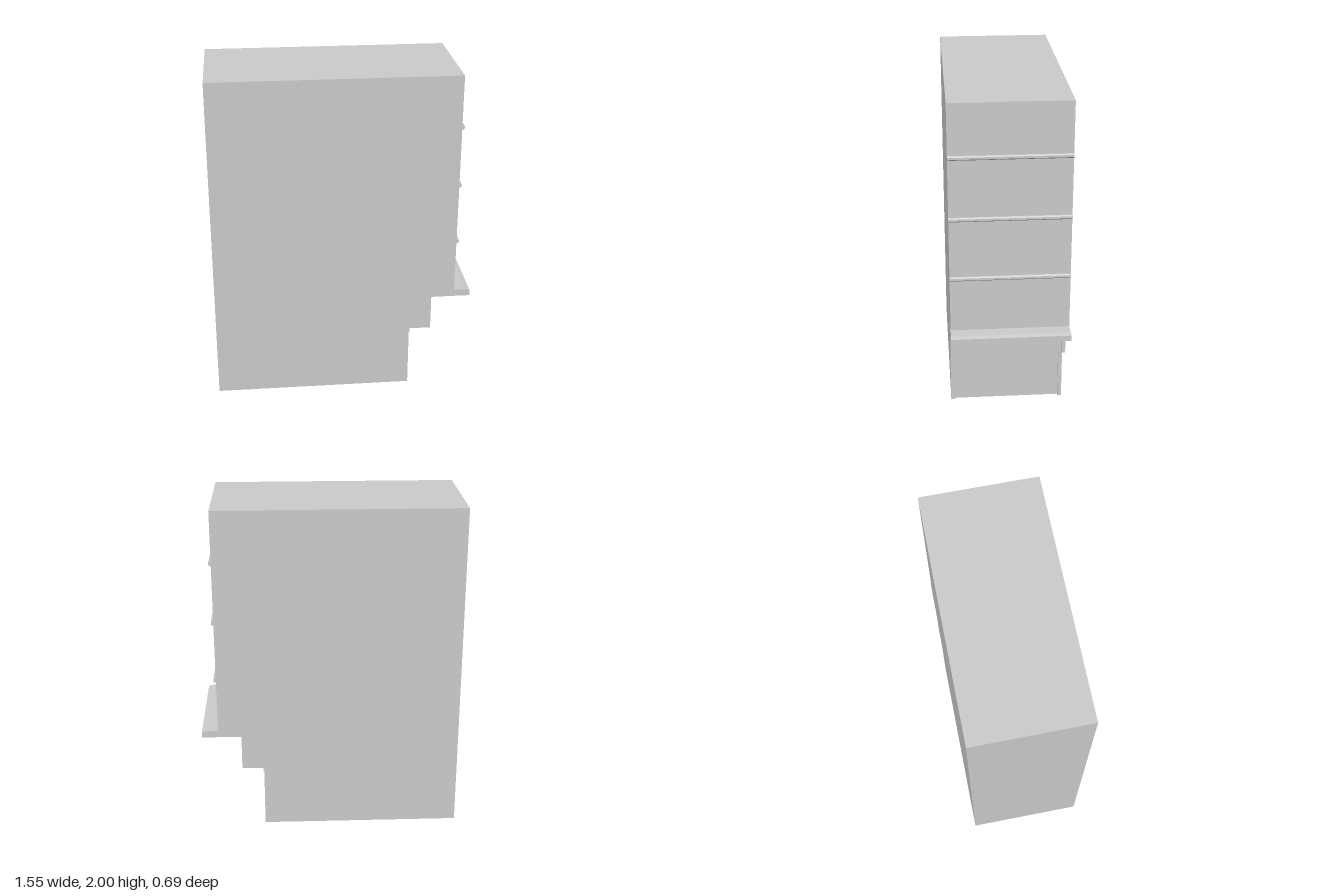
import * as THREE from 'three';

const HALF = 0.343;   // half depth of the cabinet
const CHEEK = 0.023;  // thickness of each side cheek
const BACK = -0.777;

const material = new THREE.MeshStandardMaterial({ color: 0xcccccc, flatShading: true });

// Extrude an x/y outline between two z positions
function slab(name, points, z0, z1) {
  const shape = new THREE.Shape(points.map(([x, y]) => new THREE.Vector2(x, y)));
  const geometry = new THREE.ExtrudeGeometry(shape, { depth: z1 - z0, bevelEnabled: false });
  geometry.translate(0, 0, z0);
  const mesh = new THREE.Mesh(geometry, material);
  mesh.name = name;
  return mesh;
}

// Stepped outline; the two lower steps can be set back by a recess
function outline(recess) {
  return [
    [BACK, 0], [0.408 - recess, 0], [0.408 - recess, 0.36],
    [0.413, 0.36], [0.413, 0.385],
    [0.541 - recess, 0.385], [0.541 - recess, 0.6],
    [0.68, 0.6], [0.68, 2], [BACK, 2],
  ];
}

export function createModel() {
  const group = new THREE.Group();
  group.name = 'steppedCabinet';

  // Main body with recessed lower panels
  const inner = HALF - CHEEK;
  group.add(slab('body', outline(0.015), -inner, inner));

  // Side cheeks framing the recessed panels
  group.add(slab('leftCheek', outline(0), inner, HALF));
  group.add(slab('rightCheek', outline(0), -HALF, -inner));

  // Projecting ledge with a slightly sloped top
  group.add(slab('ledge',
    [[0.68, 0.6], [0.777, 0.6], [0.777, 0.635], [0.75, 0.641], [0.68, 0.643]], -HALF, HALF));

  // Horizontal beads between the upper panels
  for (const y of [0.972, 1.334, 1.693]) {
    group.add(slab('bead', [
      [0.68, y - 0.012], [0.688, y - 0.012], [0.694, y - 0.006],
      [0.694, y + 0.006], [0.688, y + 0.012], [0.68, y + 0.012],
    ], -HALF, HALF));
  }
  return group;
}
